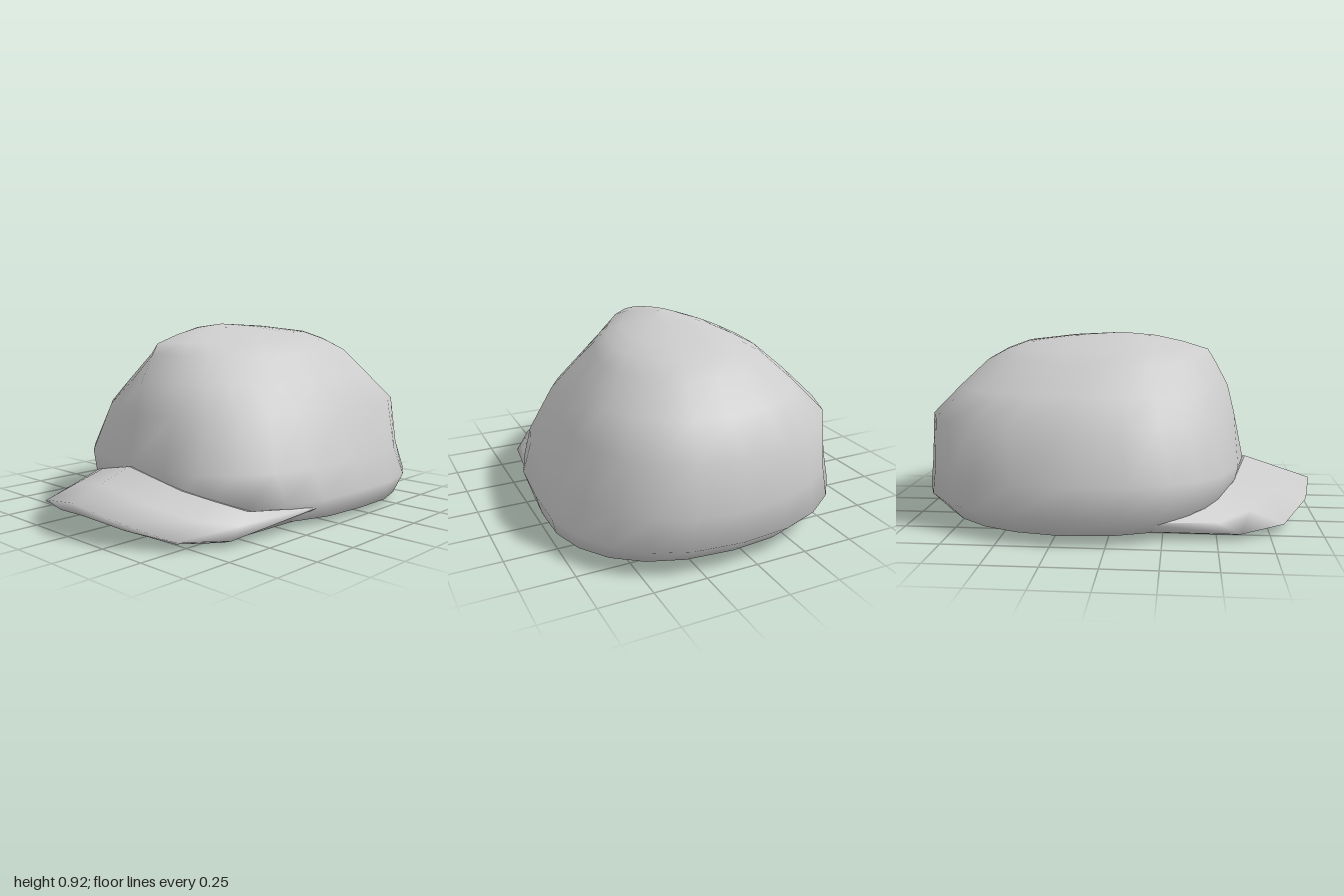
import * as THREE from 'three';

const material = new THREE.MeshStandardMaterial({ color: 0xcccccc, side: THREE.DoubleSide });

// Skin rows of points [x, y, z] into one smooth surface
function loft(name, rows, closed) {
  const n = rows[0].length;
  const index = [];
  for (let r = 0; r < rows.length - 1; r++) {
    for (let i = 0; i < (closed ? n : n - 1); i++) {
      const j = (i + 1) % n;
      const a = r * n + i, b = r * n + j, c = a + n, d = b + n;
      index.push(a, b, d, a, d, c);
    }
  }
  const geometry = new THREE.BufferGeometry();
  geometry.setAttribute('position', new THREE.Float32BufferAttribute(rows.flat(2), 3));
  geometry.setIndex(index);
  geometry.computeVertexNormals();
  const mesh = new THREE.Mesh(geometry, material);
  mesh.name = name;
  return mesh;
}

// One horizontal ring of the crown; pinch hollows both sides of the front ridge
function crownRing([y, front, back, left, right, pinch]) {
  const points = [], count = 24;
  const zc = (front + back) / 2, depth = (front - back) / 2;
  for (let i = 0; i < count; i++) {
    let a = (i / count) * Math.PI * 2;
    if (a > Math.PI) a -= Math.PI * 2;
    // Squarer in front and around the middle, rounder at the low back
    const power = Math.cos(a) < 0 && y < 0.3 ? 0.87 : 0.8;
    const soften = (v) => Math.sign(v) * Math.abs(v) ** power;
    // The hollow is deeper and wider on the left
    const [reach, dent] = a > 0 ? [1.7, 0.28] : [1.45, 0.21];
    const hollow = Math.max(0, Math.sin(Math.PI * Math.min(Math.abs(a) / reach, 1))) ** 0.7;
    const k = 1 - pinch * dent * hollow;
    const z = zc + soften(Math.cos(a)) * depth * k;
    // The back leans slightly to the left, and the front is a little fuller there
    const x = soften(Math.sin(a)) * (a > 0 ? left : right) * k + Math.max(0, -z - 0.2) * 0.09;
    points.push([x, y, z + 0.1 * x * Math.max(0, z)]);
  }
  return points;
}

// Mirror a half row, given from the middle outwards, to run from -x to +x
function mirrorRow(half, skew) {
  const row = [...half.slice(1).reverse().map(([x, y, z]) => [-x, y, z]), ...half];
  return row.map(([x, y, z]) => [x, y, z + x * skew]);
}

export function createModel() {
  const group = new THREE.Group();
  group.name = 'cap';

  // Crown with closed floor: height, front z, back z, left width, right width, pinch
  const levels = [
    [0.035, -0.22, -0.22, 0, 0, 0],
    [0.035, 0.44, -0.85, 0.67, 0.64, 0],
    [0.035, 0.48, -0.90, 0.73, 0.69, 0],
    [0.13, 0.615, -1.0, 0.755, 0.765, 0],
    [0.27, 0.65, -0.988, 0.70, 0.74, 0],
    [0.51, 0.60, -0.968, 0.63, 0.69, 0.3],
    [0.65, 0.565, -0.83, 0.53, 0.55, 0.65],
    [0.78, 0.495, -0.69, 0.44, 0.40, 1],
    [0.835, 0.46, -0.59, 0.36, 0.29, 1.1],
    [0.875, 0.33, -0.48, 0.27, 0.20, 1.1],
    [0.905, 0.19, -0.24, 0.12, 0.10, 0.7],
    [0.92, 0.02, 0.02, 0, 0, 0],
  ];
  group.add(loft('crown', levels.map(crownRing), true));

  // Arched brim: underside, lower rim, outer rim, upper face, root against the crown
  const under = [[0, 0.033, 0.4], [0.2, 0.033, 0.38], [0.36, 0.033, 0.33], [0.5, 0.033, 0.24], [0.58, 0.034, 0.06]];
  const lower = [[0, 0.09, 0.94], [0.24, 0.06, 0.89], [0.43, 0.015, 0.77], [0.53, 0.002, 0.59], [0.62, 0.034, 0.1]];
  const rim = [[0, 0.16, 1], [0.265, 0.115, 0.95], [0.48, 0.045, 0.82], [0.605, 0.03, 0.61], [0.68, 0.09, 0.12]];
  const root = [[0, 0.27, 0.665], [0.31, 0.2, 0.605], [0.45, 0.165, 0.53], [0.575, 0.125, 0.435], [0.675, 0.1, 0.12]];
  const upper = rim.map((p, i) => p.map((v, k) => (v + root[i][k]) / 2));
  // Tuck the inner edge into the crown wall
  const tuck = root.map(([x, y, z]) => [x * 0.9, y - 0.03, z - 0.1]);

  const brim = new THREE.Group();
  brim.name = 'brim';
  const shell = [[under, 0], [lower, 0], [rim, 0], [upper, 0.03], [root, 0.06]];
  brim.add(loft('brimShell', shell.map(([row, skew]) => mirrorRow(row, skew)), false));
  brim.add(loft('brimLip', [mirrorRow(root, 0.06), mirrorRow(tuck, 0.06)], false));
  brim.position.x = 0.025;
  group.add(brim);

  return group;
}
